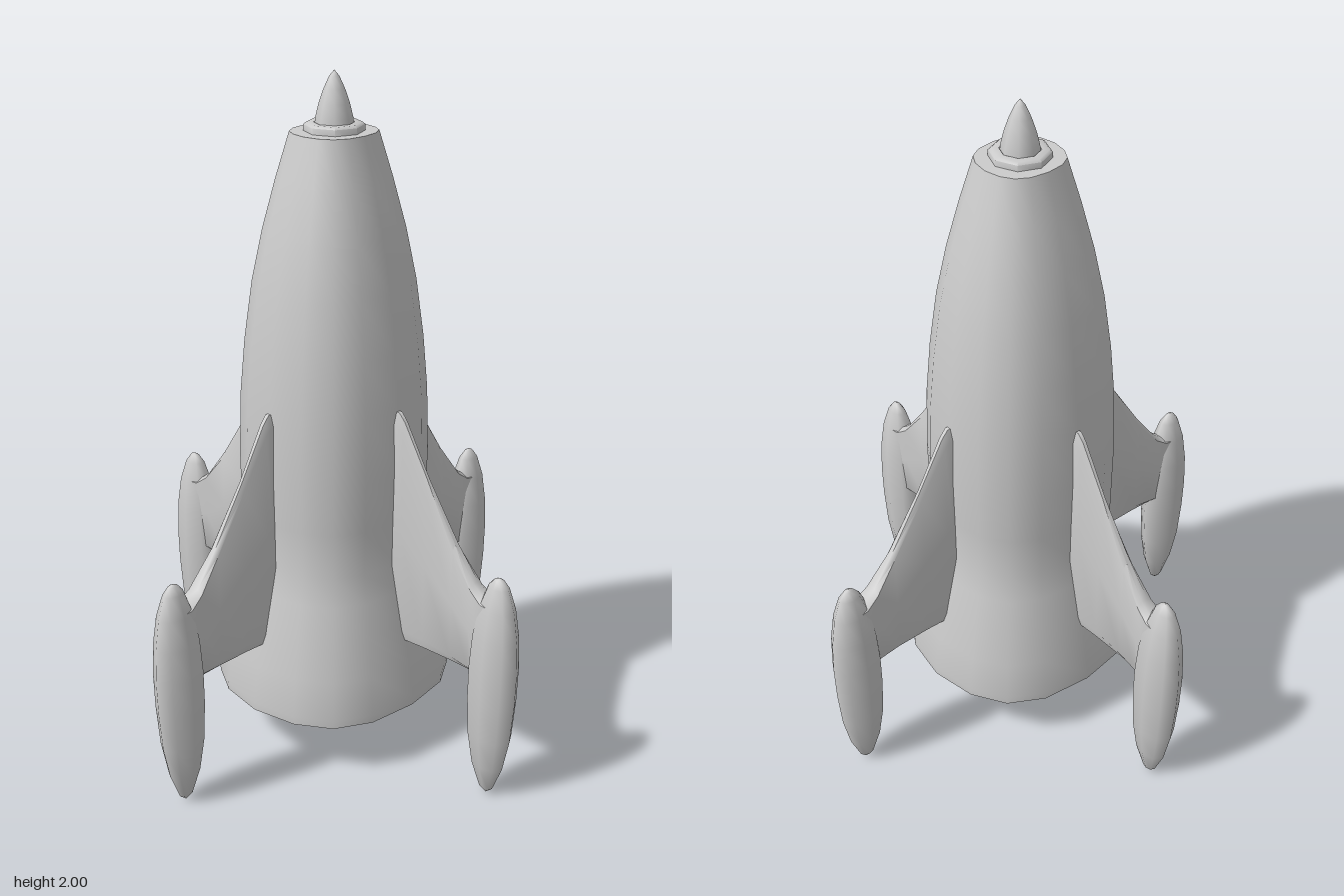
import * as THREE from 'three';
import { toCreasedNormals, mergeVertices } from 'three/addons/utils/BufferGeometryUtils.js';

const material = new THREE.MeshStandardMaterial({ color: 0xcccccc });

function part(name, geometry) {
  const mesh = new THREE.Mesh(geometry, material);
  mesh.name = name;
  return mesh;
}

const lathe = (profile, sides) =>
  new THREE.LatheGeometry(profile.map(([r, y]) => new THREE.Vector2(r, y)), sides);

function crease(geometry, angle) {
  geometry.deleteAttribute('normal');
  geometry.deleteAttribute('uv');
  return toCreasedNormals(mergeVertices(geometry, 1e-5), angle);
}

// Hull: 16 sides, a little narrower in x, closed at both ends
function hullGeometry() {
  const geometry = lathe([
    [0, 0.158], [0.315, 0.158], [0.342, 0.17], [0.343, 0.195], [0.325, 0.31],
    [0.303, 0.43], [0.282, 0.53], [0.264, 0.615], [0.266, 0.75], [0.268, 0.9],
    [0.262, 1.09], [0.248, 1.25], [0.225, 1.42], [0.194, 1.57], [0.157, 1.71],
    [0.119, 1.838], [0, 1.838],
  ], 16);
  // Quarter of the cross-section, as factors of the radius, mirrored to all sides
  const quarter = [[0, 1], [0.405, 0.928], [0.7, 0.75], [0.875, 0.45], [0.935, 0]];
  const p = geometry.attributes.position;
  for (let i = 0; i < p.count; i++) {
    const x = p.getX(i), z = p.getZ(i), r = Math.hypot(x, z);
    if (r < 1e-6) continue;
    const step = Math.round(Math.atan2(Math.abs(x), Math.abs(z)) / (Math.PI / 8));
    p.setX(i, Math.sign(x) * quarter[step][0] * r);
    p.setZ(i, Math.sign(z) * quarter[step][1] * r);
  }
  return crease(geometry, 0.75);
}

// Fin: lofted outward along +x, pinched in the middle and thick at the pod
function finGeometry() {
  // x, bottom y, top y, half thickness
  const stations = [
    [0.2, 0.38, 1.09, 0.017], [0.255, 0.38, 1.088, 0.017], [0.275, 0.38, 1.065, 0.016],
    [0.36, 0.383, 0.918, 0.013], [0.467, 0.386, 0.755, 0.019],
    [0.54, 0.388, 0.66, 0.03], [0.58, 0.39, 0.63, 0.036], [0.61, 0.39, 0.63, 0.04],
  ];
  // height fraction, thickness fraction
  const section = [
    [1, 0.35], [0.95, 0.9], [0.5, 1], [0.05, 0.9], [0, 0.45],
    [0, -0.45], [0.05, -0.9], [0.5, -1], [0.95, -0.9], [1, -0.35],
  ];
  const n = section.length, points = [], index = [];
  stations.forEach(([x, low, high, t], i) => {
    section.forEach(([f, w], j) => {
      points.push(x, low + (high - low) * f, w * t);
      if (i === stations.length - 1) return;
      const k = (j + 1) % n, a = i * n + j, b = i * n + k;
      index.push(a, b, b + n, a, b + n, a + n);
    });
  });
  const geometry = new THREE.BufferGeometry();
  geometry.setAttribute('position', new THREE.Float32BufferAttribute(points, 3));
  geometry.setIndex(index);
  return toCreasedNormals(geometry, 0.9);
}

// Pod: eight-sided spindle, deeper than wide, leaning slightly outward at the top
function podGeometry() {
  const geometry = lathe([
    [0, 0], [0.022, 0.02], [0.052, 0.1], [0.071, 0.2], [0.079, 0.32], [0.08, 0.42],
    [0.074, 0.52], [0.058, 0.61], [0.034, 0.675], [0.015, 0.698], [0, 0.704],
  ], 8);
  geometry.scale(1, 1, 0.72);
  const p = geometry.attributes.position;
  for (let i = 0; i < p.count; i++) {
    p.setX(i, p.getX(i) + 0.612 + (p.getY(i) - 0.38) * 0.022);
  }
  return geometry;
}

export function createModel() {
  const model = new THREE.Group();
  model.name = 'rocket';
  model.add(part('hull', hullGeometry()));

  // Nose collar and pointed tip
  model.add(part('noseCollar', crease(lathe(
    [[0.084, 1.83], [0.084, 1.855], [0.076, 1.861], [0.056, 1.861], [0.05, 1.853], [0, 1.853]], 8), 0.9)));
  model.add(part('noseTip', lathe(
    [[0.054, 1.85], [0.051, 1.875], [0.042, 1.912], [0.029, 1.95], [0.014, 1.983], [0, 2]], 8)));

  // Four fins with landing pods
  const fin = finGeometry(), pod = podGeometry();
  for (let i = 0; i < 4; i++) {
    const assembly = new THREE.Group();
    assembly.name = 'finAssembly' + (i + 1);
    const finMesh = part('fin', fin), podMesh = part('pod', pod);
    finMesh.position.x = podMesh.position.x = i % 2 ? 0.015 : 0;
    assembly.add(finMesh, podMesh);
    assembly.rotation.y = i * Math.PI / 2;
    model.add(assembly);
  }

  // Four round thrusters under the base
  const thruster = new THREE.SphereGeometry(0.05, 12, 8);
  for (const x of [-0.14, 0.14]) {
    for (const z of [-0.148, 0.148]) {
      const mesh = part('thruster', thruster);
      mesh.position.set(x, 0.155, z);
      model.add(mesh);
    }
  }
  return model;
}
